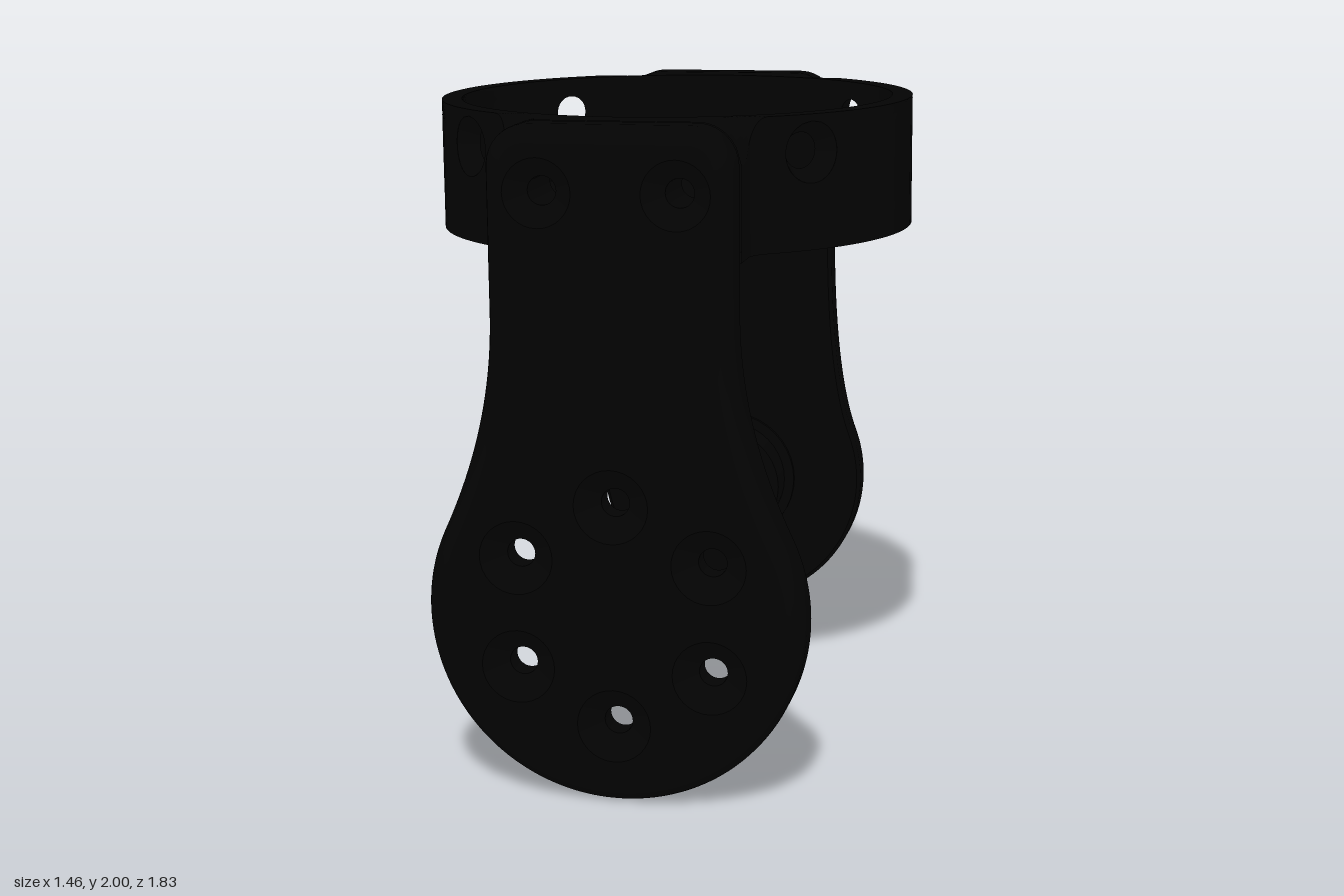
import * as THREE from 'three';

const V = (x, y, z) => new THREE.Vector3(x, y, z);
const material = new THREE.MeshStandardMaterial({ color: 0x030303, side: THREE.DoubleSide });

const TOP = 1.99, BOTTOM = 1.595, FLOOR = 1.655;  // heights of the cup
const R_OUT = 0.73, R_IN = 0.668;                 // cup wall radii
const ARM_Z = 0.78, THICK = 0.132, BEVEL = 0.05, CHAMFER = 0.012;  // arm plates
const ARM_W = 0.357, CORNER = 0.12;               // strap half width and top corner radius
const SCREW_X = 0.2, SCREW_Y = 1.8, SCREW_R = 0.042, SINK = 0.06;
const HUB_Y = 0.57;

function add(parent, name, geometry) {
  const mesh = new THREE.Mesh(geometry, material);
  mesh.name = name;
  parent.add(mesh);
  return mesh;
}

// Skin a surface through rows of equally many points
function loft(rows, closed) {
  const n = rows[0].length, index = [];
  for (let i = 0; i < rows.length - 1; i++) {
    for (let j = 0; j < (closed ? n : n - 1); j++) {
      const a = i * n + j, b = i * n + (j + 1) % n;
      index.push(a, b, a + n, b, b + n, a + n);
    }
  }
  const g = new THREE.BufferGeometry().setFromPoints(rows.flat());
  g.setIndex(index);
  g.computeVertexNormals();
  return g;
}

// Closed loop of points from a rule of angle
const loop = (f, n = 32) => Array.from({ length: n }, (_, i) => f(i / n * Math.PI * 2));
const circle = (x, y, z, r) => loop(t => V(x + r * Math.cos(t), y + r * Math.sin(t), z));
const onRing = (R, a, y) => V(R * Math.sin(a), y, R * Math.cos(a));

// Rim height: the necks take on the rounded corners of the straps
function rimHeight(x, z) {
  const over = THREE.MathUtils.clamp((x - ARM_W + CORNER) / CORNER, 0, 1);
  return TOP - CORNER * (1 - Math.sqrt(1 - over * over)) * THREE.MathUtils.smoothstep(z, 0.61, 0.72);
}

// Curved wall panel between two angles with a round hole in it
function holedPanel(R, a0, a1, ha, hy, r) {
  const corners = [[a0, BOTTOM], [a1, BOTTOM], [a1, TOP], [a0, TOP]];
  const N = 16, rim = [];
  corners.forEach(([a, y], i) => {
    const [b, z] = corners[(i + 1) % 4];
    for (let k = 0; k < N; k++) rim.push([(a + (b - a) * k / N - ha) * R, y + (z - y) * k / N - hy]);
  });
  const rows = [];
  for (let s = 0; s <= 8; s++) {
    rows.push(rim.map(([u, v]) => {
      const k = r / Math.hypot(u, v), f = k + (1 - k) * s / 8;
      return onRing(R, ha + u * f / R, hy + v * f);
    }));
  }
  return loft(rows, true);
}

// One quarter of the cup, between the front centre and the left side
function cupQuarter() {
  const q = new THREE.Group();
  const split = 0.55, join = 0.6, quarter = Math.PI / 2;
  const screwA = Math.asin(SCREW_X / R_IN), sideA = Math.PI / 4, sideY = 1.88;

  // Outline: neck end, straight neck side, fillet, round wall
  const end = onRing(R_OUT, join, 0);
  const neckEnd = Array.from({ length: 24 }, (_, i) => V(0.36 * i / 24, 0, ARM_Z));
  const neck = [V(0.36, 0, ARM_Z), V(0.36, 0, 0.73), V(0.36, 0, 0.705),
    ...new THREE.QuadraticBezierCurve3(V(0.36, 0, 0.68), V(0.36, 0, 0.64), end).getPoints(8)];
  const wall = Array.from({ length: 24 }, (_, i) => onRing(R_OUT, join + (quarter - join) * (i + 1) / 24, 0));
  const outline = [...neckEnd, ...neck, ...wall];

  // Rim and underside spread from the inner circle or the centre to the outline
  const rimRows = [], inner = outline.map(p => onRing(R_IN, Math.atan2(p.x, p.z), 0));
  for (let s = 0; s <= 8; s++) {
    rimRows.push(outline.map((p, i) => {
      const m = inner[i].clone().lerp(p, s / 8);
      return m.setY(rimHeight(m.x, m.z));
    }));
  }
  const under = [0, 1].map(s => outline.map(p => V(p.x * s, BOTTOM, p.z * s)));
  add(q, 'rim', loft(rimRows, false));
  add(q, 'underside', loft(under, false));
  add(q, 'neckSide', loft([neck.map(p => V(p.x, BOTTOM, p.z)),
    neck.map(p => V(p.x, rimHeight(p.x, p.z), p.z))], false));
  add(q, 'outerWall', holedPanel(R_OUT, join, quarter, sideA, sideY, 0.09));
  add(q, 'innerWallSide', holedPanel(R_IN, split, quarter, sideA, sideY, 0.053));
  add(q, 'innerWallNeck', holedPanel(R_IN, 0, split, screwA, SCREW_Y, SCREW_R));

  // Countersunk side hole and screw tunnel through the neck
  const bore = (R, a, y, r) => loop(t => onRing(R, a + r * Math.cos(t) / R, y + r * Math.sin(t)));
  add(q, 'sideHole', loft([bore(R_OUT, sideA, sideY, 0.09), bore(R_IN, sideA, sideY, 0.053)], true));
  add(q, 'screwTunnel', loft([bore(R_IN, screwA, SCREW_Y, SCREW_R),
    circle(SCREW_X, SCREW_Y, ARM_Z, SCREW_R)], true));
  return q;
}

// Arm plate: round paddle flowing into a straight strap; outer face at +z.
// Holes are [x, y, head radius].
function arm(name, r, cy, angle, pull, holes) {
  const g = new THREE.Group();
  g.name = name;
  const w = ARM_W, c = CORNER, up = 1.45;
  const ex = r * Math.cos(angle), ey = cy + r * Math.sin(angle);
  const hx = ex - pull * Math.sin(angle), hy = ey + pull * Math.cos(angle);
  const path = new THREE.Path();
  path.absarc(0, cy, r, Math.PI - angle, Math.PI * 2 + angle, false);
  path.bezierCurveTo(hx, hy, w, up - 0.21, w, up);
  path.lineTo(w, TOP - c);
  path.absarc(w - c, TOP - c, c, 0, Math.PI / 2, false);
  path.lineTo(c - w, TOP);
  path.absarc(c - w, TOP - c, c, Math.PI / 2, Math.PI, false);
  path.lineTo(-w, up);
  path.bezierCurveTo(-w, up - 0.21, -hx, hy, -ex, ey);
  const pts = path.getSpacedPoints(260).slice(0, -1), n = pts.length;

  // Outline moved inwards along its normals
  const inset = d => pts.map((p, i) => {
    const t = pts[(i + 1) % n].clone().sub(pts[(i + n - 1) % n]).normalize();
    return new THREE.Vector2(p.x - t.y * d, p.y + t.x * d);
  });
  const face = (d, z, radius) => {
    const shape = new THREE.Shape(inset(d));
    holes.forEach(h => shape.holes.push(new THREE.Path().absarc(h[0], h[1], radius(h), 0, Math.PI * 2, true)));
    return new THREE.ShapeGeometry(shape, 16).translate(0, 0, z);
  };
  // Edge: fine chamfer at the back, rounded at the front
  const profile = [[CHAMFER, 0], [0, CHAMFER], [0, THICK - BEVEL]];
  for (let i = 1; i <= 6; i++) {
    const t = i / 6 * Math.PI / 2;
    profile.push([BEVEL * (1 - Math.cos(t)), THICK - BEVEL + BEVEL * Math.sin(t)]);
  }
  add(g, 'armEdge', loft(profile.map(([d, z]) => inset(d).map(p => V(p.x, p.y, z))), true));
  add(g, 'armOuterFace', face(BEVEL, THICK, h => h[2]));
  add(g, 'armInnerFace', face(CHAMFER, 0, () => SCREW_R));
  holes.forEach(([x, y, head]) => {
    const mid = circle(x, y, THICK - SINK, SCREW_R);
    add(g, 'countersink', loft([circle(x, y, THICK, head), mid], true));
    add(g, 'screwHole', loft([mid, circle(x, y, 0, SCREW_R)], true));
  });
  return g;
}

// Round stud standing on the inner face of an arm
function stud(parent, name, x, y, r, length) {
  add(parent, name, new THREE.CylinderGeometry(r, r, length, 40).rotateX(Math.PI / 2)).position.set(x, y, -length / 2);
}

export function createModel() {
  const model = new THREE.Group();
  model.name = 'bracket';
  const body = new THREE.Group();
  body.name = 'body';

  // Cup: four mirrored quarters and a floor
  const cup = new THREE.Group();
  cup.name = 'cup';
  for (const sx of [1, -1]) for (const sz of [1, -1]) {
    const q = cupQuarter();
    q.name = 'cupQuarter';
    q.scale.set(sx, 1, sz);
    cup.add(q);
  }
  add(cup, 'cupFloor', new THREE.CircleGeometry(R_IN, 96).rotateX(-Math.PI / 2)).position.y = FLOOR;

  // Front arm with a ring of six screw holes and two locating pegs
  const screws = [[SCREW_X, SCREW_Y, 0.1], [-SCREW_X, SCREW_Y, 0.1]];
  const hub = loop(t => [0.33 * Math.sin(t), HUB_Y + 0.33 * Math.cos(t), 0.11], 6);
  const front = arm('frontArm', 0.562, 0.564, 0.44, 0.25, [...screws, ...hub]);
  front.position.z = ARM_Z;
  for (const a of [0, Math.PI * 2 / 3]) {
    stud(front, 'locatingPeg', 0.28 * Math.cos(a), HUB_Y + 0.28 * Math.sin(a), 0.049, 0.04);
  }

  // Back arm with a pivot boss on a thin washer
  const back = arm('backArm', 0.463, 0.576, 0.35, 0.2, screws);
  back.rotation.y = Math.PI;
  back.position.z = -ARM_Z;
  stud(back, 'washer', 0, HUB_Y, 0.23, 0.015);
  stud(back, 'pivotBoss', 0, HUB_Y, 0.197, 0.133);

  // Whole bracket leans very slightly about the cup
  body.add(cup, front, back);
  body.position.y = -SCREW_Y;
  const tilt = new THREE.Group();
  tilt.name = 'tilt';
  tilt.add(body);
  tilt.position.set(0, SCREW_Y, 0.002);
  tilt.rotation.set(0.005, 0, 0.0095);
  model.add(tilt);
  return model;
}
